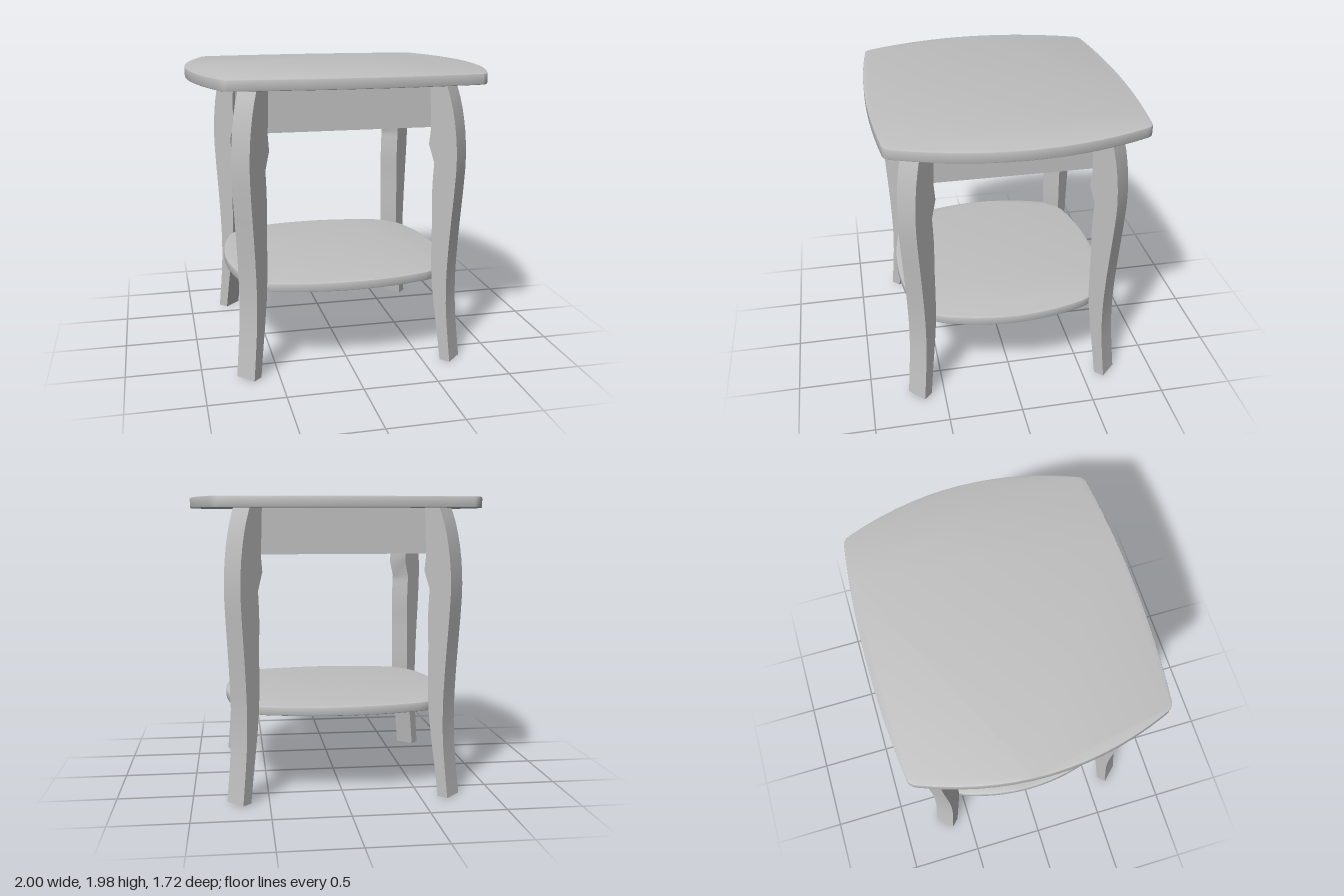
import * as THREE from 'three';
import { toCreasedNormals } from 'three/addons/utils/BufferGeometryUtils.js';

const V = (x, y) => new THREE.Vector2(x, y);
const LEG_THICK = 0.145;

// Board with four bowed sides and rounded corners.
// side: where the x side ends, corner: rounding control, end: where the z side starts
function bowedBoard(halfX, halfZ, side, corner, end, y0, y1, bevel) {
  const s = new THREE.Shape();
  const bowX = 2 * halfX - side[0], bowZ = 2 * halfZ - end[1];
  s.moveTo(side[0], -side[1]);
  s.quadraticCurveTo(bowX, 0, side[0], side[1]);
  s.quadraticCurveTo(corner[0], corner[1], end[0], end[1]);
  s.quadraticCurveTo(0, bowZ, -end[0], end[1]);
  s.quadraticCurveTo(-corner[0], corner[1], -side[0], side[1]);
  s.quadraticCurveTo(-bowX, 0, -side[0], -side[1]);
  s.quadraticCurveTo(-corner[0], -corner[1], -end[0], -end[1]);
  s.quadraticCurveTo(0, -bowZ, end[0], -end[1]);
  s.quadraticCurveTo(corner[0], -corner[1], side[0], -side[1]);
  const g = new THREE.ExtrudeGeometry(s, {
    depth: y1 - y0 - 2 * bevel, curveSegments: 14,
    bevelEnabled: true, bevelSize: bevel, bevelThickness: bevel, bevelOffset: -bevel, bevelSegments: 2,
  });
  g.rotateX(-Math.PI / 2).translate(0, y0 + bevel, 0);
  return toCreasedNormals(g, 0.5);
}

// Curved leg profile in its diagonal plane: [extent along x, height]
function legGeometry() {
  const outer = [[0.775, 0], [0.758, 0.2], [0.745, 0.4], [0.742, 0.6], [0.747, 0.8], [0.756, 1.0],
    [0.766, 1.2], [0.772, 1.4], [0.762, 1.6], [0.737, 1.78], [0.705, 1.91]];
  const innerLow = [[0.557, 1.38], [0.551, 1.2], [0.555, 1.0], [0.556, 0.8], [0.561, 0.6],
    [0.578, 0.4], [0.6, 0.2], [0.62, 0]];
  const knee = [[0.525, 1.91], [0.535, 1.6], [0.527, 1.5]];
  const half = LEG_THICK / 2 / Math.SQRT2;
  const radial = (list, shift) => list.map(([x, y]) => V((x + shift - 0.015) * Math.SQRT2, y));
  const smooth = (list) => new THREE.SplineCurve(list).getPoints(24);
  const s = new THREE.Shape([
    ...smooth(radial(outer, -half)),
    ...radial(knee, half),
    ...smooth(radial(innerLow, half)),
  ]);
  const g = new THREE.ExtrudeGeometry(s, { depth: LEG_THICK, bevelEnabled: false });
  g.translate(0, 0, -LEG_THICK / 2);
  return toCreasedNormals(g, 0.5);
}

export function createModel() {
  const table = new THREE.Group();
  table.name = 'sideTable';
  const paint = new THREE.MeshStandardMaterial({ color: 0xc0c0c0 });
  paint.name = 'plain grey';
  const add = (name, geometry) => {
    const m = new THREE.Mesh(geometry, paint);
    m.name = name;
    table.add(m);
    return m;
  };

  // Table top and lower shelf
  add('tableTop', bowedBoard(1, 0.862, [0.845, 0.76], [0.826, 0.807], [0.79, 0.812], 1.905, 1.975, 0.006));
  add('shelf', bowedBoard(0.775, 0.73, [0.69, 0.485], [0.629, 0.612], [0.515, 0.657], 0.575, 0.637, 0.008));

  // Four legs turned to the corners
  const leg = legGeometry();
  for (const sx of [1, -1]) {
    for (const sz of [1, -1]) {
      const name = (sz > 0 ? 'front' : 'back') + (sx > 0 ? 'Left' : 'Right') + 'Leg';
      const m = add(name, leg);
      m.rotation.y = Math.atan2(-sz, sx);
      m.position.set(0.015 * sx, 0, -0.015 * sz);
    }
  }

  // Apron boards between the legs
  for (const s of [1, -1]) {
    add(s > 0 ? 'frontApron' : 'backApron', new THREE.BoxGeometry(1.16, 0.3, 0.07))
      .position.set(0, 1.76, 0.55 * s);
    add(s > 0 ? 'leftApron' : 'rightApron', new THREE.BoxGeometry(0.07, 0.3, 1.1))
      .position.set(0.58 * s, 1.76, 0);
  }
  return table;
}
